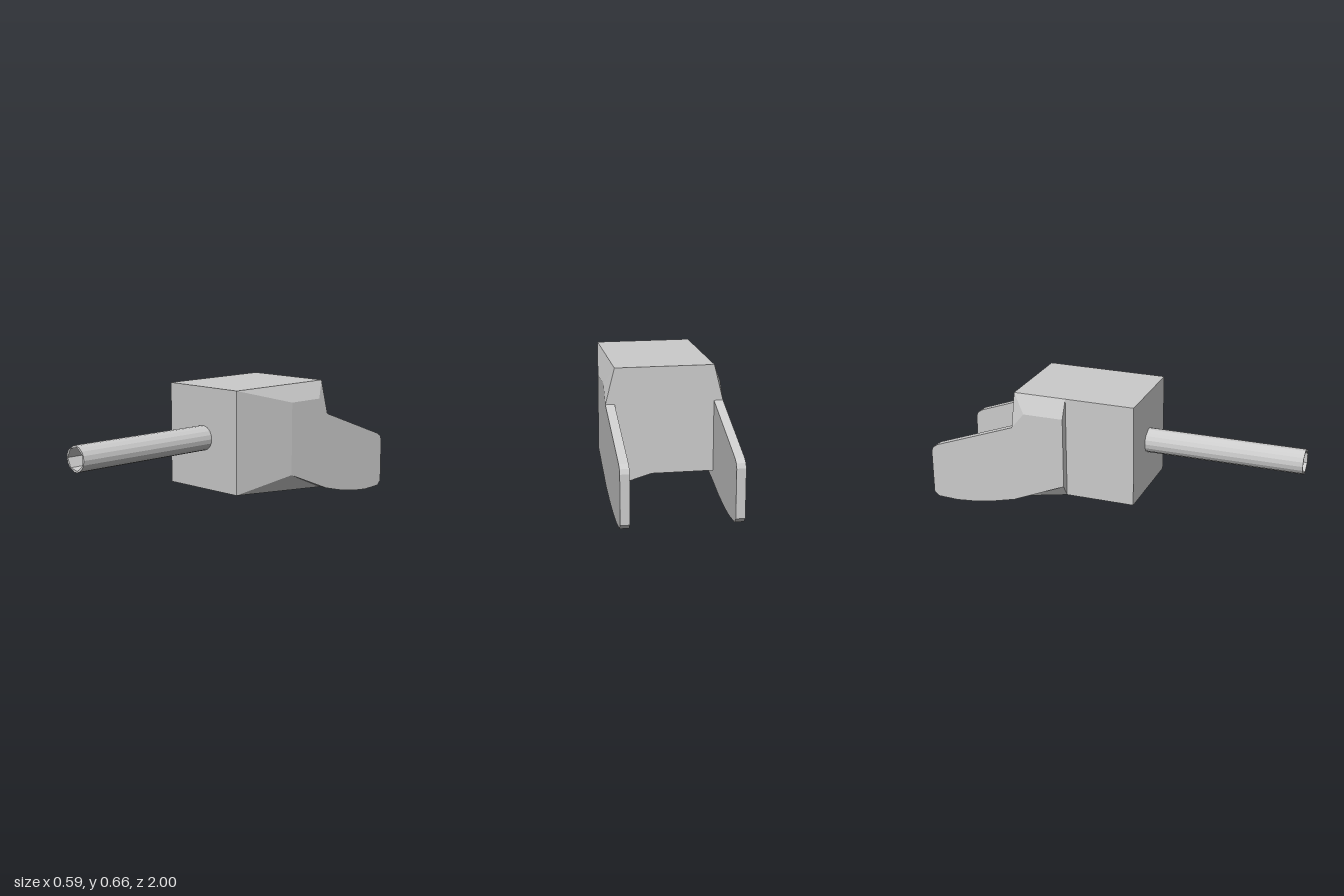
import * as THREE from 'three';

const material = new THREE.MeshStandardMaterial({ color: 0xcccccc, flatShading: true });
const IN = 0.25, OUT = 0.296, FRONT = 0.155, BACK = -0.51;

function addMesh(group, name, geometry) {
  const mesh = new THREE.Mesh(geometry, material);
  mesh.name = name;
  group.add(mesh);
  return mesh;
}

function fromTriangles(points) {
  const geo = new THREE.BufferGeometry();
  geo.setAttribute('position', new THREE.Float32BufferAttribute(points.flat(), 3));
  geo.computeVertexNormals();
  return geo;
}

// Joins an inner and an outer [z, y] loop into a closed plate on one side (+1 or -1)
function plateGeometry(inner, outer, side) {
  const tris = [];
  const at = ([z, y], x) => [side * x, y, z];
  const add = (a, b, c) => (side > 0 ? tris.push(a, b, c) : tris.push(a, c, b));
  const cap = (loop, x, dir) => {
    const pts = loop.map(([z, y]) => new THREE.Vector2(z, y));
    for (const [i, j, k] of THREE.ShapeUtils.triangulateShape(pts, [])) {
      const [a, b, c] = [loop[i], loop[j], loop[k]];
      const nx = (b[1] - a[1]) * (c[0] - a[0]) - (b[0] - a[0]) * (c[1] - a[1]);
      if (nx * dir > 0) add(at(a, x), at(b, x), at(c, x));
      else add(at(a, x), at(c, x), at(b, x));
    }
  };
  cap(inner, IN, -1);
  cap(outer, OUT, 1);
  inner.forEach((p, i) => {
    const j = (i + 1) % inner.length;
    const a = at(p, IN), b = at(outer[i], OUT), c = at(outer[j], OUT), d = at(inner[j], IN);
    add(a, b, c);
    add(a, c, d);
  });
  return fromTriangles(tris);
}

export function createModel() {
  const model = new THREE.Group();
  model.name = 'plugConnector';

  // Main block
  const block = addMesh(model, 'block', new THREE.BoxGeometry(2 * IN, 0.548, FRONT - BACK));
  block.position.set(0, 0.389, (FRONT + BACK) / 2);

  // Wedge under the block that drops to the left plate
  const a = [IN, 0.115, FRONT], b = [0.065, 0.115, BACK], c = [IN, 0.06, BACK], d = [IN, 0.115, BACK];
  addMesh(model, 'bottomWedge', fromTriangles([a, b, c, b, d, c]));

  // Rear prongs: shared tail outline, different roots on each side
  const tail = [[BACK, 0.48], [-0.965, 0.315], [-0.99, 0.298], [-1, 0.275], [-1, 0.03],
    [-0.975, 0.005], [-0.86, 0], [-0.76, 0.008], [-0.64, 0.028], [-0.55, 0.05], [BACK, 0.06]];
  const root = (front, top, back, bottom) => [[front, top], [back, top], ...tail, [front, bottom]];

  // The left plate flares smoothly from the front edge
  addMesh(model, 'leftProng', plateGeometry(
    root(FRONT, 0.663, BACK, 0.115), root(-0.22, 0.57, -0.44, 0.175), 1));
  // The right plate starts with a step halfway along the block
  addMesh(model, 'rightProng', plateGeometry(
    root(-0.22, 0.663, BACK, 0.115), root(-0.22, 0.565, -0.44, 0.182), -1));

  // Hollow stem with two small grooves and a seven-sided bore
  const ring = (n, radius, start) => Array.from({ length: n }, (_, i) => {
    const t = start + (i / n) * Math.PI * 2;
    const r = radius(i);
    return new THREE.Vector2(r * Math.cos(t), r * Math.sin(t));
  });
  const outline = new THREE.Shape(ring(18, (i) => (i === 6 || i === 12 ? 0.062 : 0.067), 0));
  outline.holes.push(new THREE.Path(ring(7, () => 0.06, Math.PI)));
  const stem = addMesh(model, 'stem',
    new THREE.ExtrudeGeometry(outline, { depth: 1 - FRONT, bevelEnabled: false }));
  stem.position.set(-0.001, 0.389, FRONT);

  return model;
}
